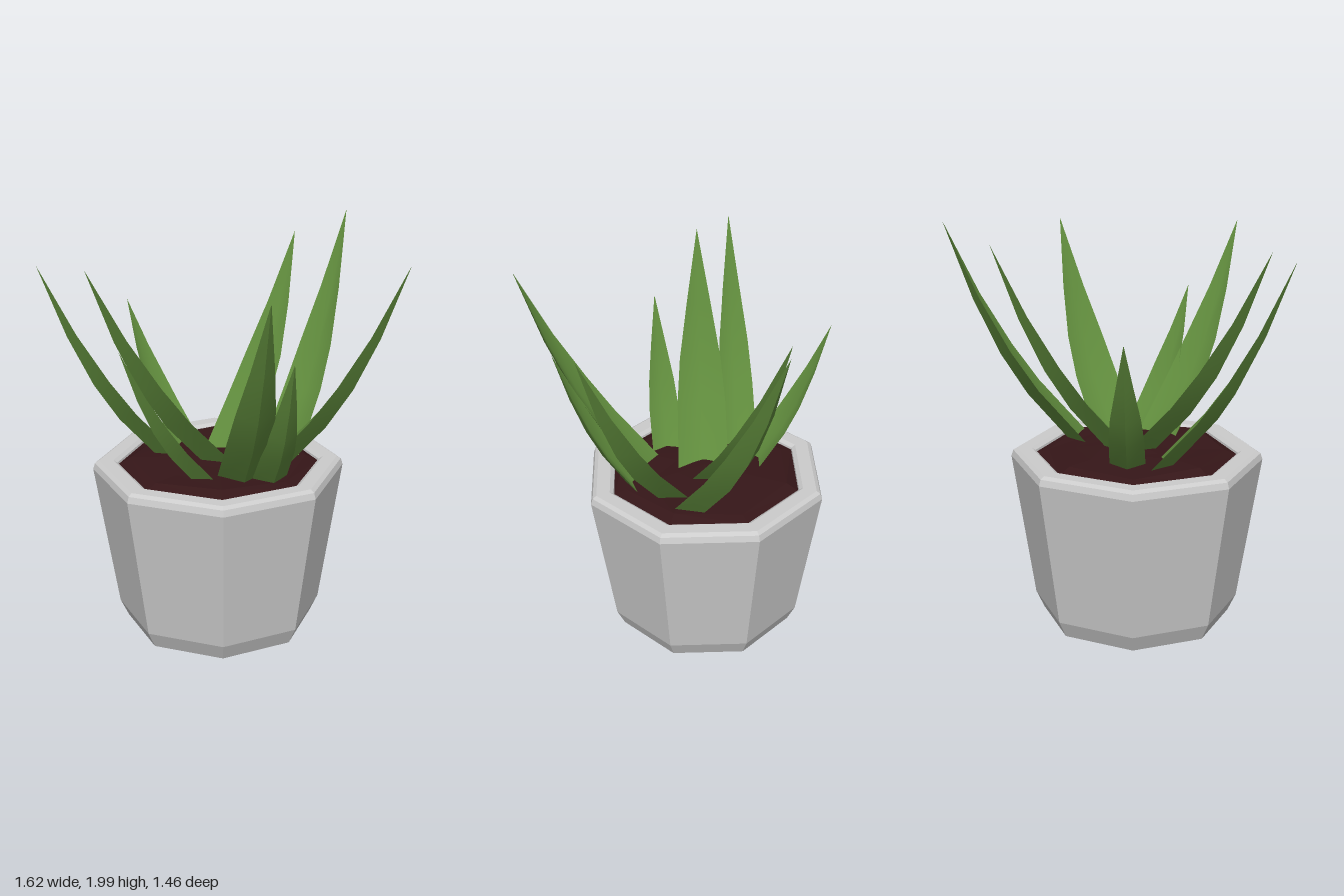
import * as THREE from 'three';
import { toCreasedNormals } from 'three/addons/utils/BufferGeometryUtils.js';

const POT_X = -0.11, POT_Z = -0.065, SOIL_Y = 0.87;

// Eight-sided solid turned from a [radius, height] profile
function octagonal(profile) {
  return new THREE.LatheGeometry(profile.map(([r, y]) => new THREE.Vector2(r, y)), 8);
}

// Stations along a leaf: share of run, share of rise, width scale
const STATIONS = [
  [0, 0, 1], [0.36, 0.25, 0.96], [0.56, 0.43, 0.82], [0.77, 0.67, 0.48], [1, 1, 0],
];

// Tapered, curving leaf with a channelled inner face and a ridged back.
// a and b are the [x, z] ends of its foot; tip is [x, y, z].
function leafGeometry(a, b, tip) {
  const foot = new THREE.Vector3((a[0] + b[0]) / 2, SOIL_Y, (a[1] + b[1]) / 2);
  const span = new THREE.Vector3(...tip).sub(foot);
  const side = new THREE.Vector3((b[0] - a[0]) / 2, 0, (b[1] - a[1]) / 2);
  if (side.clone().cross(span).y < 0) side.negate();
  const half = side.length();

  const centres = STATIONS.map(([run, rise]) =>
    new THREE.Vector3(span.x * run, span.y * rise, span.z * run).add(foot));
  const rings = STATIONS.map(([, , w], i) => {
    const c = centres[i];
    const tangent = centres[Math.min(i + 1, 4)].clone().sub(centres[Math.max(i - 1, 0)]);
    const normal = side.clone().cross(tangent).normalize();
    const point = (s, n) => c.clone().addScaledVector(side, s * w).addScaledVector(normal, n * half * w);
    return [point(-1, 0.28), point(0, -0.08), point(1, 0.28), point(0, -0.38)];
  });

  const pos = [];
  const tri = (...pts) => pts.forEach(p => pos.push(p.x, p.y, p.z));
  for (let i = 0; i < rings.length - 1; i++) {
    for (let j = 0; j < 4; j++) {
      const k = (j + 1) % 4, lo = rings[i], hi = rings[i + 1];
      tri(lo[j], lo[k], hi[k]);
      if (i < rings.length - 2) tri(lo[j], hi[k], hi[j]);
    }
  }
  const geo = new THREE.BufferGeometry();
  geo.setAttribute('position', new THREE.Float32BufferAttribute(pos, 3));
  return toCreasedNormals(geo, 0.85);
}

// Foot ends and tip of each leaf
const LEAVES = [
  [[0.16, 0.0], [0.18, 0.22], [0.81, 1.99, -0.02]],
  [[-0.08, -0.18], [-0.01, 0.04], [0.57, 1.9, -0.16]],
  [[-0.16, -0.32], [0.01, -0.32], [-0.07, 1.57, -0.73]],
  [[-0.2, -0.4], [-0.24, -0.22], [-0.81, 1.9, -0.52]],
  [[-0.08, -0.18], [-0.16, 0.06], [-0.72, 1.9, -0.3]],
  [[-0.33, -0.04], [-0.35, 0.12], [-0.74, 1.57, -0.07]],
  [[-0.31, 0.12], [-0.13, 0.25], [-0.61, 1.9, 0.7]],
  [[-0.21, 0.25], [-0.06, 0.34], [-0.36, 1.57, 0.62]],
  [[-0.1, 0.23], [0.11, 0.14], [0.32, 1.9, 0.73]],
];

export function createModel() {
  const model = new THREE.Group();
  model.name = 'pottedPlant';

  // Pot with bevelled foot and rim
  const pot = new THREE.Mesh(
    octagonal([[0, 0], [0.37, 0], [0.465, 0.035], [0.505, 0.12], [0.615, 0.845],
      [0.605, 0.875], [0.585, 0.888], [0.515, 0.888], [0.495, 0.875], [0.48, 0.8]]),
    new THREE.MeshStandardMaterial({ color: 0xcccccc, flatShading: true }));
  pot.name = 'pot';
  pot.position.set(POT_X, 0, POT_Z);
  model.add(pot);

  // Lumpy soil
  const soilGeo = octagonal([[0.492, 0.865], [0.43, 0.893], [0.3, 0.9], [0.15, 0.9], [0, 0.9]]);
  const p = soilGeo.attributes.position;
  for (let i = 0; i < p.count; i++) {
    const x = p.getX(i), z = p.getZ(i);
    if (Math.hypot(x, z) < 0.45) p.setY(i, p.getY(i) + 0.012 * Math.sin(9 * x + 1) * Math.cos(8 * z));
  }
  const soil = new THREE.Mesh(soilGeo,
    new THREE.MeshStandardMaterial({ color: 0x351618, flatShading: true }));
  soil.name = 'soil';
  soil.position.copy(pot.position);
  model.add(soil);

  // Leaves
  const leaves = new THREE.Group();
  leaves.name = 'leaves';
  const green = new THREE.MeshStandardMaterial({ color: 0x5f8a3c, side: THREE.DoubleSide });
  LEAVES.forEach(([a, b, tip], i) => {
    const leaf = new THREE.Mesh(leafGeometry(a, b, tip), green);
    leaf.name = `leaf${i + 1}`;
    leaves.add(leaf);
  });
  model.add(leaves);

  return model;
}
